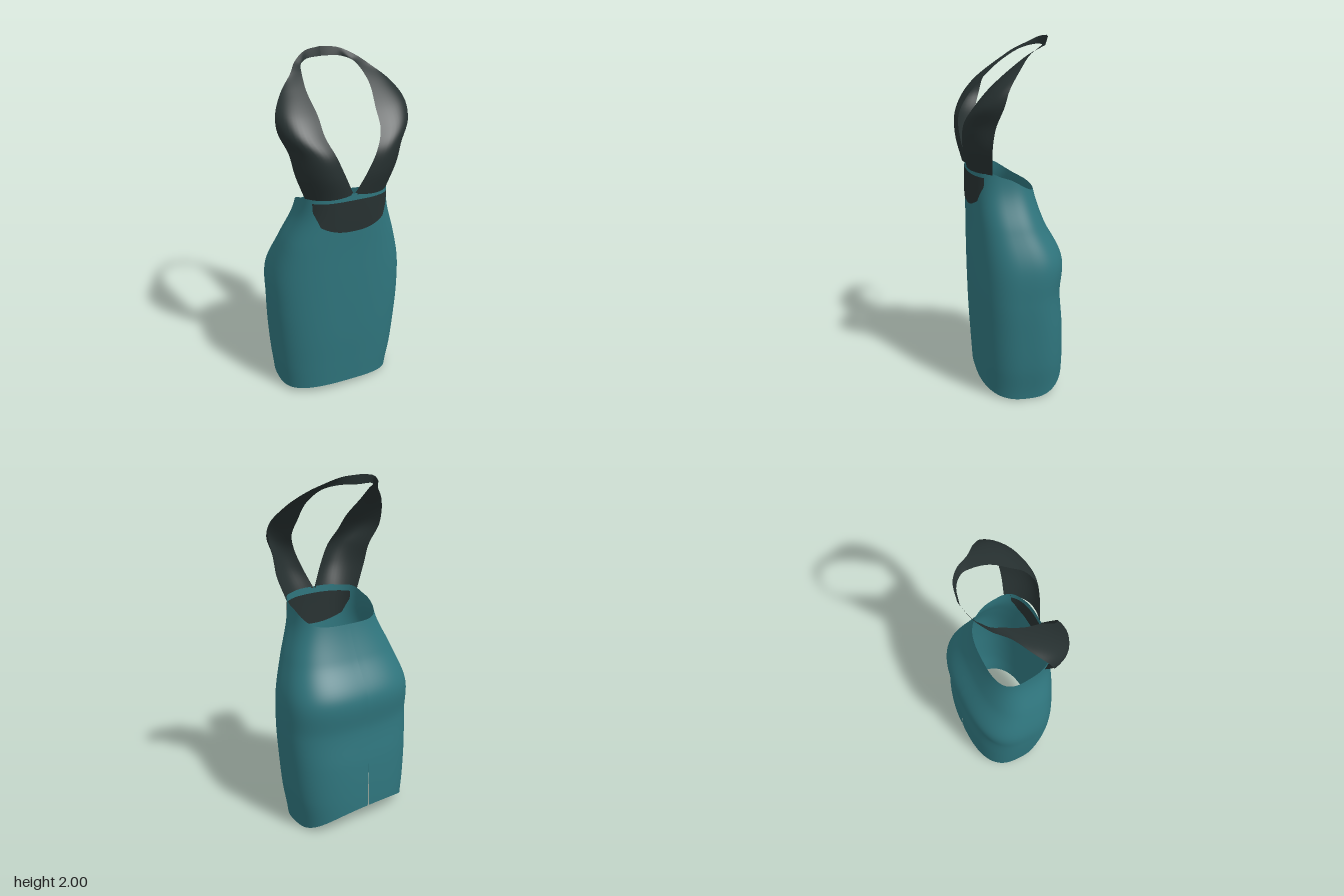
import * as THREE from 'three';

const { smoothstep, lerp } = THREE.MathUtils;
const POWER = 2.7; // squareness of the body cross-section

// Smooth value from samples spaced 0.2 apart in height
function sample(list, y) {
  const t = Math.min(Math.max(y / 0.2, 0), list.length - 1.001);
  const i = Math.floor(t), f = t - i;
  const at = k => list[Math.min(Math.max(k, 0), list.length - 1)];
  const [a, b, c, d] = [at(i - 1), at(i), at(i + 1), at(i + 2)];
  return b + 0.5 * f * (c - a + f * (2 * a - 5 * b + 4 * c - d + f * (3 * (b - c) + d - a)));
}

// Body cross-section at a height: half width, centre and half depth
const HALF_WIDTH = [0.35, 0.375, 0.39, 0.398, 0.392, 0.333, 0.258, 0.245];
const FRONT = [0.215, 0.225, 0.235, 0.24, 0.243, 0.245, 0.25, 0.25];
const BACK = [-0.285, -0.287, -0.28, -0.262, -0.27, -0.17, -0.106, -0.09];
const CENTRE_X = [-0.005, 0, 0, 0, 0, 0.003, 0.015, 0.02];
function section(y) {
  const f = sample(FRONT, y), b = sample(BACK, y);
  return { a: sample(HALF_WIDTH, y), x: sample(CENTRE_X, y), z: (f + b) / 2, d: (f - b) / 2 };
}

// Sheet of quads from a rule (u, v) -> [x, y, z]
function sheet(nu, nv, rule) {
  const pos = [], index = [];
  for (let j = 0; j <= nv; j++)
    for (let i = 0; i <= nu; i++) pos.push(...rule(i / nu, j / nv));
  for (let j = 0; j < nv; j++)
    for (let i = 0; i < nu; i++) {
      const p = j * (nu + 1) + i, q = p + nu + 1;
      index.push(p, p + 1, q + 1, p, q + 1, q);
    }
  const g = new THREE.BufferGeometry();
  g.setAttribute('position', new THREE.Float32BufferAttribute(pos, 3));
  g.setIndex(index);
  g.computeVertexNormals();
  return g;
}

// Skirt body with sloping waist, wavy hem and a narrow slit at the back
function bodyPoint(u, v) {
  const angle = (u * 2 - 1) * Math.PI;
  const s = Math.sin(angle), c = Math.cos(angle);
  const hem = 0.012 - 0.012 * s + c * c * (c > 0 ? 0.043 : 0.105);
  const rim = 1.19 + 0.13 * smoothstep(c, -1, 0.6) + 0.008 * smoothstep(c, 0.8, 1);
  const y = lerp(hem, rim, v);
  const k = section(y);
  const bend = w => Math.sign(w) * Math.pow(Math.abs(w), 2 / POWER);
  let x = k.x + k.a * bend(s);
  const slit = 0.007 * Math.max(0, 1 - y / 0.42);
  if (u === 0) x = k.x - slit;
  if (u === 1) x = k.x + slit;
  return [x, y, k.z + k.d * bend(c)];
}

// Panel that follows the front of the body
function panelPoint(u, v, offset) {
  const w = u * 2 - 1;
  const bottom = 1.105 + 0.045 * Math.pow(Math.abs(w), 2.5);
  const y = lerp(bottom, 1.29 - 0.008 * w * w, v);
  const x = 0.018 + w * lerp(0.185, 0.218, Math.min(1, v * 1.6));
  const k = section(y);
  const r = Math.min(1, Math.abs((x - k.x) / k.a));
  return [x, y, k.z + k.d * Math.pow(1 - Math.pow(r, POWER), 1 / POWER) + offset];
}

// Halter strap: inner edge, outer edge and outward bulge along its length
const INNER = [
  [0.003, 1.32, 0.246], [0.065, 1.45, 0.272], [0.115, 1.56, 0.272], [0.155, 1.65, 0.225],
  [0.162, 1.74, 0.15], [0.178, 1.84, 0.04], [0.163, 1.91, -0.06], [0.145, 1.935, -0.115],
  [0.09, 1.95, -0.165], [0, 1.95, -0.19]];
const OUTER = [
  [0.242, 1.3, 0.15], [0.298, 1.45, 0.158], [0.322, 1.56, 0.145], [0.366, 1.67, 0.11],
  [0.365, 1.75, 0.085], [0.31, 1.84, 0.02], [0.23, 1.91, -0.05], [0.172, 1.955, -0.125],
  [0.095, 1.99, -0.178], [0, 2, -0.2]];
const BULGE = [
  [0.02, 0, 0.05], [0.01, 0, 0.06], [0.015, 0, 0.06], [0.035, 0, 0.055],
  [0.035, 0, 0.04], [0.015, 0, 0.015], [0.005, 0, 0], [0, 0, 0], [0, 0, 0], [0, 0, 0]];
const curve = pts => new THREE.CatmullRomCurve3(pts.map(p => new THREE.Vector3(...p)));
const inner = curve(INNER), outer = curve(OUTER), bulge = curve(BULGE);
function strapPoint(u, v, side) {
  const t = side > 0 ? u : 1 - u;
  const p = inner.getPoint(v).lerp(outer.getPoint(v), t);
  p.addScaledVector(bulge.getPoint(v), 4 * t * (1 - t));
  return [0.017 + side * p.x, p.y, p.z];
}

export function createModel() {
  const teal = new THREE.MeshStandardMaterial({ color: 0x2f757d, side: THREE.DoubleSide });
  teal.name = 'teal fabric';
  const dark = new THREE.MeshStandardMaterial({ color: 0x273131, side: THREE.DoubleSide });
  dark.name = 'dark fabric';

  const model = new THREE.Group();
  model.name = 'halterDress';
  const add = (name, geometry, material) => {
    const mesh = new THREE.Mesh(geometry, material);
    mesh.name = name;
    model.add(mesh);
  };

  add('skirtBody', sheet(96, 60, bodyPoint), teal);

  // Waist panel shows on the outside and the inside
  add('waistPanelOuter', sheet(32, 10, (u, v) => panelPoint(u, v, 0.004)), dark);
  add('waistPanelInner', sheet(32, 10, (u, v) => panelPoint(u, v, -0.004)), dark);

  // Mirrored straps meeting behind the neck
  add('leftStrap', sheet(12, 60, (u, v) => strapPoint(u, v, 1)), dark);
  add('rightStrap', sheet(12, 60, (u, v) => strapPoint(u, v, -1)), dark);
  return model;
}
